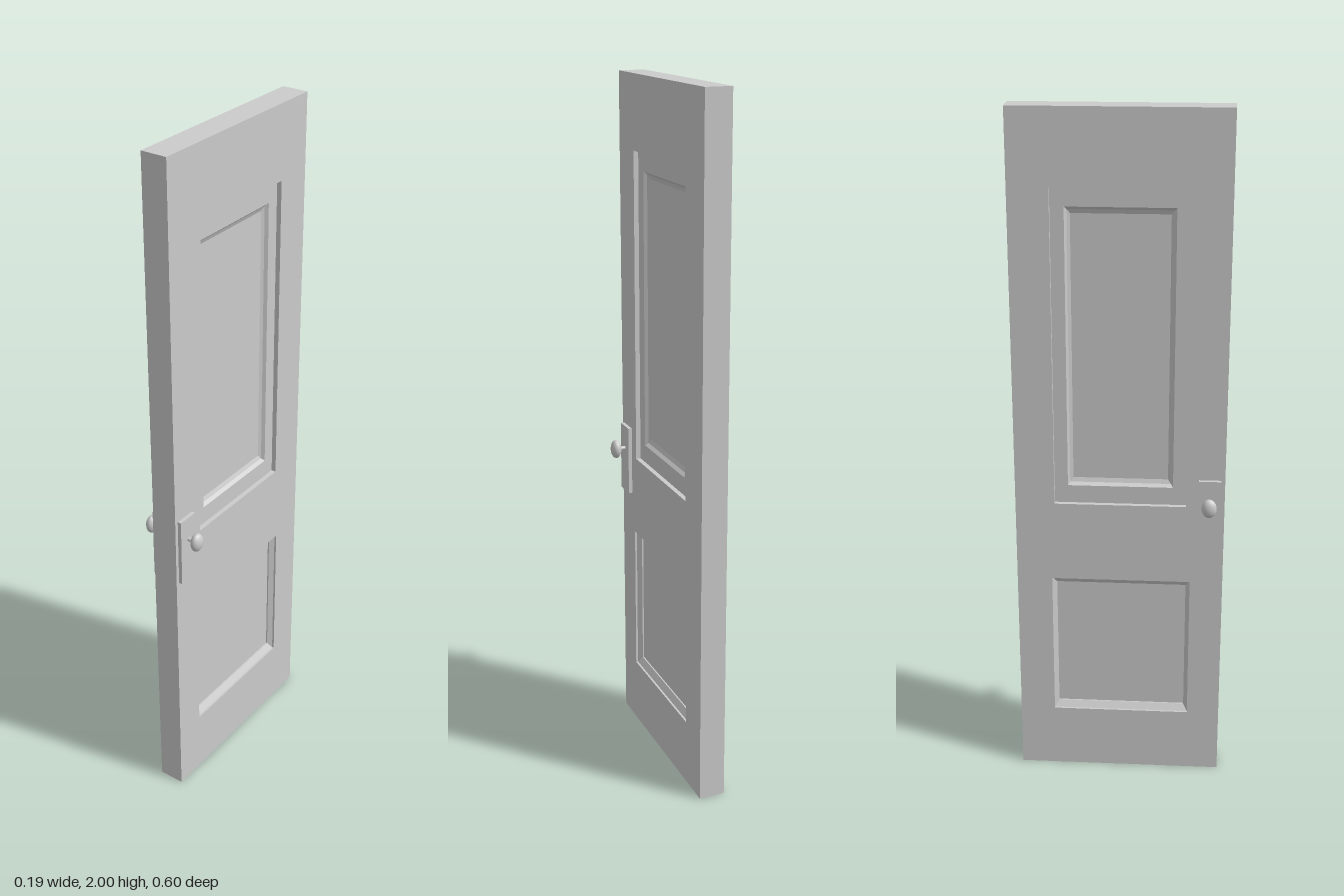
import * as THREE from 'three';

const material = new THREE.MeshStandardMaterial({ color: 0xcccccc });
const HALF = 0.038; // half the door thickness

// Panel openings (z and y ranges) with moulding steps: [inset z, inset y, depth]
const panels = [
  {
    name: 'upperPanel', z0: -0.187, z1: 0.19, y0: 0.88, y1: 1.79,
    steps: [[0, 0, 0], [0, 0, 0.014], [0.038, 0.053, 0.014], [0.044, 0.061, 0.023], [0.053, 0.073, 0.028]],
  },
  {
    name: 'lowerPanel', z0: -0.198, z1: 0.205, y0: 0.195, y1: 0.64,
    steps: [[0, 0, 0], [0, 0, 0.006], [0.012, 0.019, 0.018], [0.012, 0.019, 0.022]],
  },
];

function add(parent, name, geometry, x = 0, y = 0, z = 0) {
  const mesh = new THREE.Mesh(geometry, material);
  mesh.name = name;
  mesh.position.set(x, y, z);
  parent.add(mesh);
  return mesh;
}

function trace(path, u0, u1, y0, y1) {
  path.moveTo(u0, y0);
  path.lineTo(u1, y0);
  path.lineTo(u1, y1);
  path.lineTo(u0, y1);
  path.closePath();
  return path;
}

// Sunken moulding and flat field, built from nested rectangles on one side
function panelGeometry({ z0, z1, y0, y1, steps }, side) {
  const pos = [];
  const loops = steps.map(([iz, iy, d]) => {
    const x = side * (HALF - d);
    return [
      [x, y0 + iy, z1 - iz], [x, y0 + iy, z0 + iz],
      [x, y1 - iy, z0 + iz], [x, y1 - iy, z1 - iz],
    ];
  });
  const quad = (a, b, c, d) => {
    const order = side > 0 ? [a, b, c, a, c, d] : [a, c, b, a, d, c];
    order.forEach((p) => pos.push(...p));
  };
  for (let i = 0; i < loops.length - 1; i++) {
    for (let k = 0; k < 4; k++) {
      const n = (k + 1) % 4;
      quad(loops[i][k], loops[i][n], loops[i + 1][n], loops[i + 1][k]);
    }
  }
  quad(...loops[loops.length - 1]);
  const geometry = new THREE.BufferGeometry();
  geometry.setAttribute('position', new THREE.Float32BufferAttribute(pos, 3));
  geometry.computeVertexNormals();
  return geometry;
}

export function createModel() {
  const door = new THREE.Group();
  door.name = 'door';

  // Slab with two panel openings
  const outline = trace(new THREE.Shape(), -0.3, 0.3, 0, 2);
  for (const p of panels) outline.holes.push(trace(new THREE.Path(), -p.z1, -p.z0, p.y0, p.y1));
  const slab = new THREE.ExtrudeGeometry(outline, { depth: HALF * 2, bevelEnabled: false });
  slab.translate(0, 0, -HALF).rotateY(Math.PI / 2);
  add(door, 'slab', slab);

  for (const side of [1, -1]) {
    const sideName = side > 0 ? 'left' : 'right';
    for (const p of panels) add(door, `${sideName} ${p.name}`, panelGeometry(p, side));

    // Handle set: back plate, stem and oval knob
    const handle = new THREE.Group();
    handle.name = `${sideName} handle`;
    door.add(handle);
    add(handle, 'backPlate', new THREE.BoxGeometry(0.012, 0.206, 0.064), side * 0.043, 0.862, 0.257);
    const stem = new THREE.CylinderGeometry(0.006, 0.006, 0.026, 16).rotateZ(Math.PI / 2);
    add(handle, 'stem', stem, side * 0.058, 0.895, 0.256);
    const knob = new THREE.SphereGeometry(1, 24, 16).rotateZ(Math.PI / 2).scale(0.0155, 0.028, 0.0215);
    add(handle, 'knob', knob, side * 0.0775, 0.895, 0.256);
  }
  return door;
}
